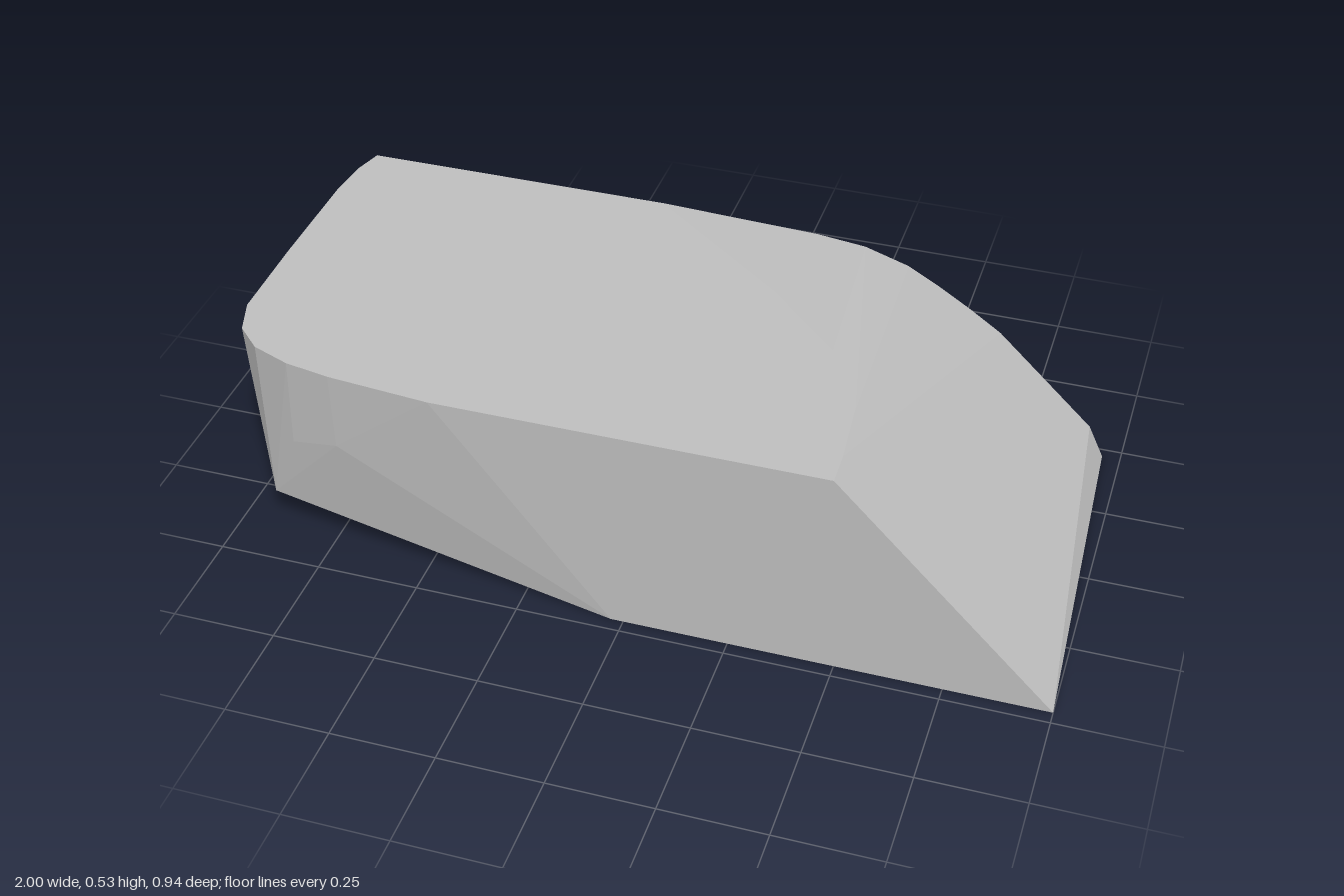
import * as THREE from 'three';
import { ConvexGeometry } from 'three/addons/geometries/ConvexGeometry.js';

const TOP = 0.533, FRONT = 0.467, BACK = -0.472;

// Flat top outline (x, z): rounded at the left, curving away at the back right
const topOutline = [
  [0.48, FRONT], [0.478, 0.38], [0.463, 0.21], [0.36, 0.01], [0.17, -0.18], [-0.2, BACK],
  [-0.97, BACK], [-0.99, -0.4], [-1, -0.3], [-1, 0], [-0.995, 0.24], [-0.965, 0.33],
  [-0.905, 0.388], [-0.81, 0.425], [-0.7, 0.445], [-0.45, FRONT],
];

// Back face profile (x, y): rounded shoulder, then the worn lower corner
const backProfile = [
  [0.2, 0.518], [0.32, 0.505], [0.43, 0.47], [0.51, 0.425], [0.59, 0.375], [0.67, 0.32],
  [0.915, 0.085], [0.955, 0], [0.02, 0], [-0.69, 0.15], [-0.86, 0.235], [-0.95, 0.39],
];

// Front base edge and the chipped lower left corner (x, y, z)
const lowerCorners = [
  [1, 0, FRONT], [-0.03, 0, FRONT],
  [-0.9, 0.11, 0.387], [-0.7, 0.33, 0.438], [-0.82, 0.3, 0.417],
  [-0.8, 0.05, -0.22], [-0.94, 0.1, -0.25], [-0.97, 0.17, -0.27],
];

export function createModel() {
  const stone = new THREE.MeshStandardMaterial({ color: 0xc0c0c0 });
  stone.name = 'grey stone';

  // The solid is the faceted skin stretched over its outlines
  const points = [
    ...topOutline.map(([x, z]) => new THREE.Vector3(x, TOP, z)),
    ...backProfile.map(([x, y]) => new THREE.Vector3(x, y, BACK)),
    ...lowerCorners.map((p) => new THREE.Vector3(...p)),
  ];
  const block = new THREE.Mesh(new ConvexGeometry(points), stone);
  block.name = 'stoneBlock';

  const group = new THREE.Group();
  group.name = 'wedgeStone';
  group.add(block);
  return group;
}
